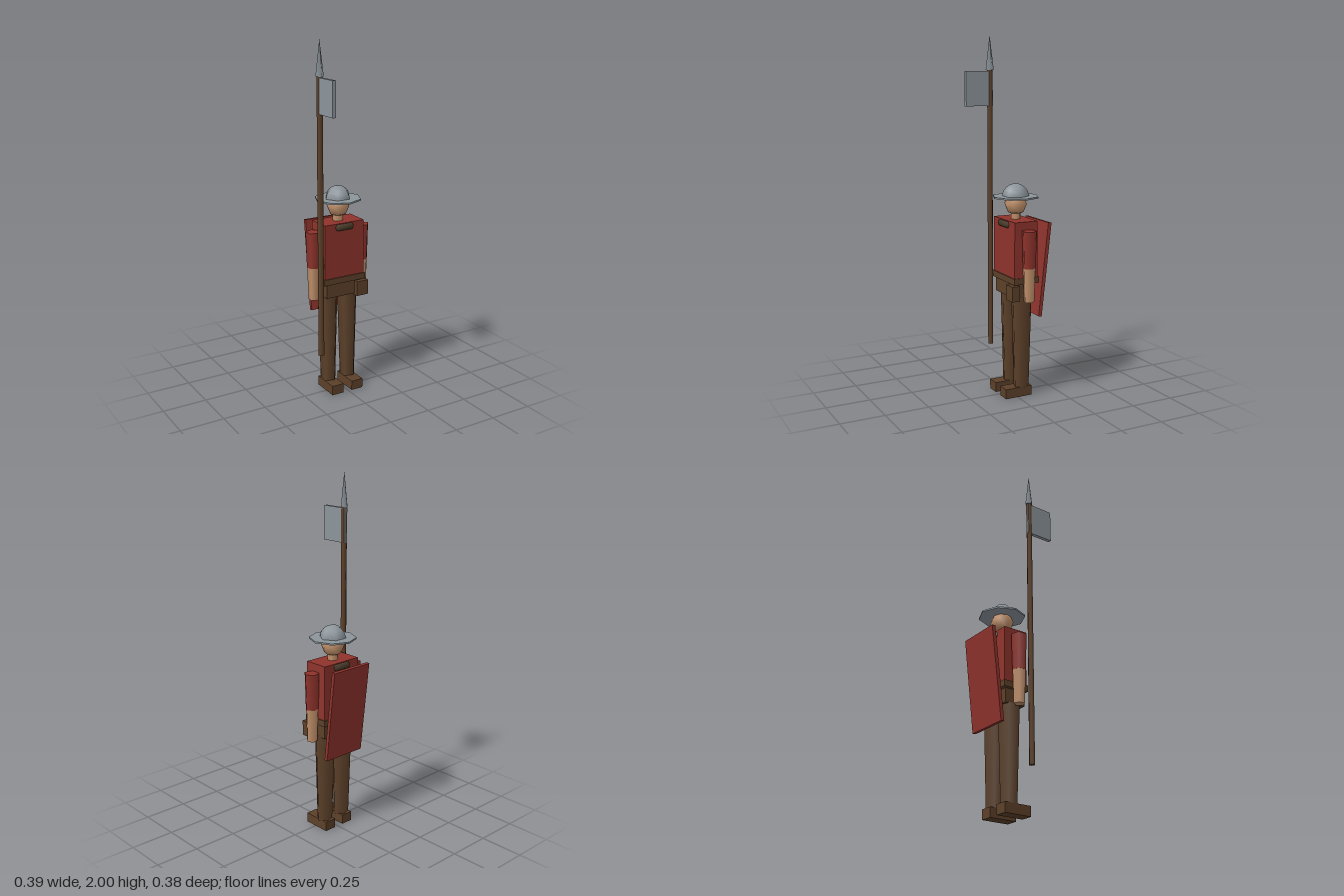
import * as THREE from 'three';

const paint = (name, color) => {
  const m = new THREE.MeshStandardMaterial({ color });
  m.name = name;
  return m;
};

export function createModel() {
  const red = paint('redCloth', 0x8f332c);
  const brown = paint('brownLeather', 0x5c4029);
  const dark = paint('darkLeather', 0x4a3b2a);
  const steel = paint('steel', 0x8c959b);
  const skin = paint('skin', 0xc0906a);

  const model = new THREE.Group();
  model.name = 'guard';
  const CX = -0.006, CZ = -0.037; // body axis

  const add = (name, geometry, material, x, y, z) => {
    const mesh = new THREE.Mesh(geometry, material);
    mesh.name = name;
    mesh.position.set(x, y, z);
    model.add(mesh);
    return mesh;
  };
  // Box given by its extents
  const box = (name, mat, x0, x1, y0, y1, z0, z1) =>
    add(name, new THREE.BoxGeometry(x1 - x0, y1 - y0, z1 - z0), mat, (x0 + x1) / 2, (y0 + y1) / 2, (z0 + z1) / 2);
  // Upright tapered prism between two heights
  const post = (name, mat, rTop, rBottom, sides, x, y0, y1, z, turn = 0) => {
    const mesh = add(name, new THREE.CylinderGeometry(rTop, rBottom, y1 - y0, sides), mat, x, (y0 + y1) / 2, z);
    mesh.rotation.y = turn;
    return mesh;
  };

  // Torso, belt, hips and pouch
  box('tunic', red, -0.131, 0.119, 0.67, 1.0, -0.107, 0.034);
  box('belt', brown, -0.137, 0.125, 0.655, 0.69, -0.113, 0.04);
  box('hips', brown, -0.117, 0.107, 0.575, 0.66, -0.092, 0.03);
  box('pouch', brown, 0.062, 0.135, 0.565, 0.65, 0.01, 0.057);

  // Six-sided collar ring
  const collar = add('collar', new THREE.TorusGeometry(0.08, 0.02, 6, 6), dark, CX, 0.978, CZ);
  collar.rotation.x = Math.PI / 2;

  // Limbs, five-sided and tapering
  for (const [side, s] of [['left', 1], ['right', -1]]) {
    const turn = Math.PI / 2;
    const legX = CX + s * 0.064, armX = CX + s * 0.157;
    post(side + 'Leg', brown, 0.06, 0.045, 5, legX, 0.05, 0.58, CZ, turn);
    box(side + 'Foot', brown, legX - 0.038, legX + 0.034, 0, 0.055, -0.088, 0.073);
    post(side + 'Sleeve', red, 0.043, 0.037, 5, armX, 0.75, 0.955, CZ, turn);
    post(side + 'Forearm', skin, 0.036, 0.03, 5, armX, 0.562, 0.75, CZ, turn);
  }

  // Neck and head
  post('neck', skin, 0.03, 0.03, 6, CX, 0.99, 1.045, CZ);
  add('head', new THREE.SphereGeometry(0.065, 8, 4), skin, CX, 1.085, CZ);

  // Brimmed helmet
  post('helmetBrim', steel, 0.13, 0.13, 8, CX, 1.118, 1.127, CZ);
  add('helmetDome', new THREE.SphereGeometry(0.075, 6, 6, 0, Math.PI * 2, 0, Math.PI / 2), steel, CX, 1.121, CZ);

  // Shield slung on the back
  const shield = add('backShield', new THREE.BoxGeometry(0.26, 0.527, 0.02), red, -0.005, 0.723, -0.152);
  shield.rotation.x = -0.112;

  // Polearm
  const px = -0.162, pz = 0.042;
  post('polearmShaft', brown, 0.016, 0.016, 6, px, 0.25, 1.812, pz);
  add('polearmPoint', new THREE.ConeGeometry(0.025, 0.19, 4), steel, px, 1.905, pz);
  box('polearmBlade', steel, px - 0.01, px + 0.01, 1.615, 1.805, 0.028, 0.19);

  return model;
}
